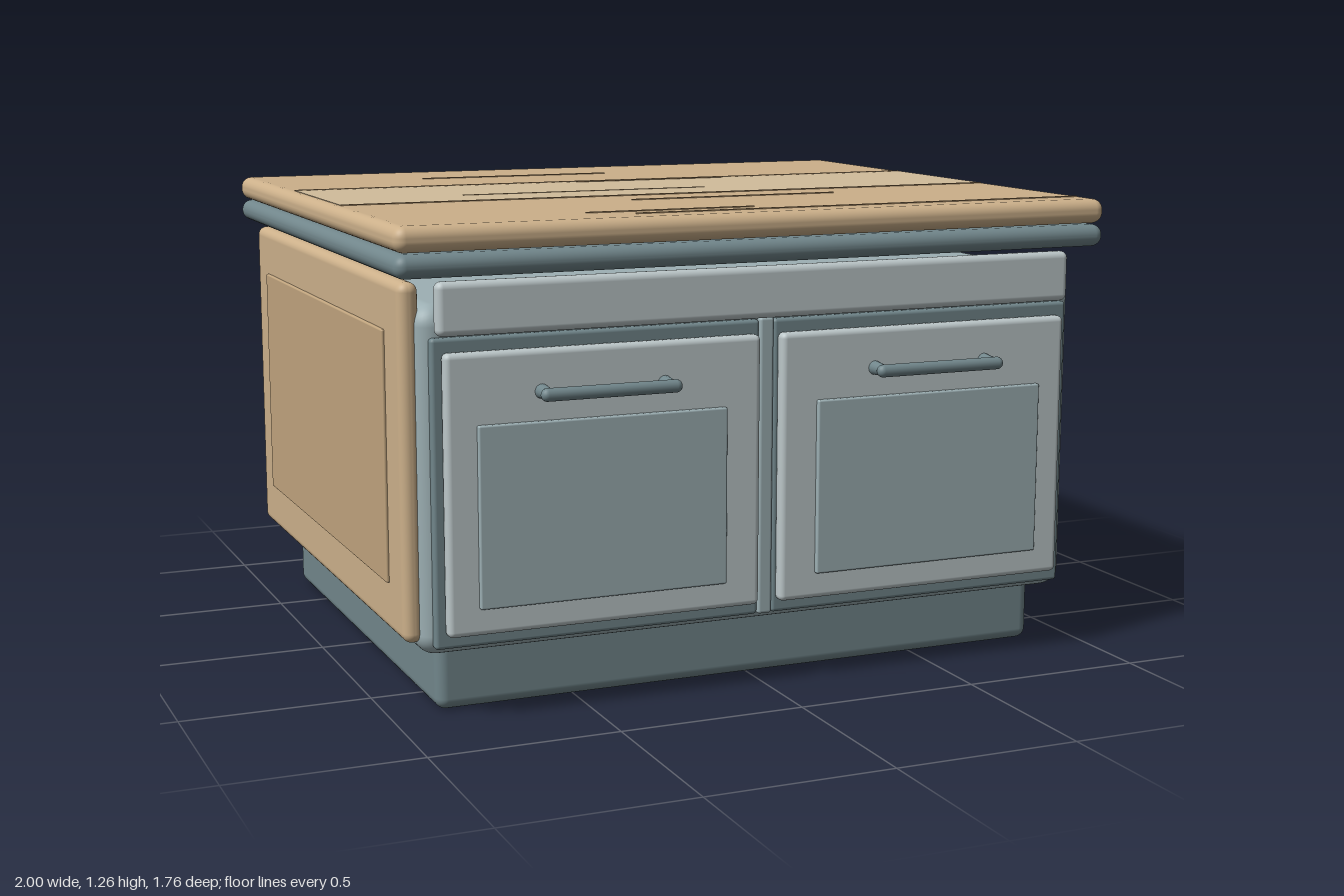
import * as THREE from 'three';
import { RoundedBoxGeometry } from 'three/addons/geometries/RoundedBoxGeometry.js';

export function createModel() {
  const model = new THREE.Group();
  model.name = 'kitchenIsland';
  const paint = (color) => new THREE.MeshStandardMaterial({ color });
  const body = paint(0x9db0b4), pale = paint(0xbcc7c9), dark = paint(0x71868b);
  const wood = paint(0xccb08a), lightWood = paint(0xd2bd9b), grain = paint(0xa98a63);

  // Rounded block given by its min and max on each axis
  function block(name, material, [x0, x1], [y0, y1], [z0, z1], radius = 0.01, parent = model) {
    const size = [x1 - x0, y1 - y0, z1 - z0];
    const r = Math.min(radius, Math.min(...size) * 0.49);
    const geometry = r > 0
      ? new RoundedBoxGeometry(...size, 4, r)
      : new THREE.BoxGeometry(...size);
    const mesh = new THREE.Mesh(geometry, material);
    mesh.name = name;
    mesh.position.set((x0 + x1) / 2, (y0 + y1) / 2, (z0 + z1) / 2);
    parent.add(mesh);
    return mesh;
  }

  // Plinth and cabinet body
  block('plinth', dark, [-0.875, 0.875], [0, 0.22], [-0.75, 0.68], 0.03);
  block('cabinetBody', body, [-0.94, 0.94], [0.165, 1.055], [-0.825, 0.755], 0.055);

  // Worktop: dark underlay with a wooden slab above
  block('worktopUnderlay', dark, [-1, 1], [1.125, 1.185], [-0.88, 0.81], 0.029);
  block('worktop', wood, [-1, 1], [1.188, 1.254], [-0.88, 0.81], 0.029);
  block('lightPlank', lightWood, [-0.97, 0.97], [1.25, 1.2555], [-0.29, 0.2], 0);

  // Grain lines on the worktop: start x, end x, z
  const lines = [
    [-0.51, 0.08, -0.575], [-0.97, 0.97, -0.3], [-0.13, 0.34, -0.27], [-0.58, 0.15, 0.035],
    [-0.97, 0.97, 0.203], [-0.2, 0.41, 0.34], [-0.45, 0.02, 0.645], [-0.34, 0.97, 0.71],
  ];
  for (const [x0, x1, z] of lines) {
    block('grainLine', grain, [x0, x1], [1.25, 1.257], [z - 0.002, z + 0.002], 0);
  }

  // Wooden end panel on the model's right
  block('endPanel', wood, [-0.972, -0.918], [0.2, 1.11], [-0.79, 0.73], 0.025);
  block('endPanelField', paint(0xbfa37d), [-0.98, -0.965], [0.33, 0.98], [-0.65, 0.6], 0.005);

  // Drawer front and centre stile
  block('drawerFront', pale, [-0.895, 0.895], [0.98, 1.115], [0.755, 0.798], 0.018);
  block('centreStile', body, [-0.02, 0.02], [0.19, 0.98], [0.74, 0.775], 0.008);

  // Doors with backing frame, raised field and bar handle
  for (const side of [-1, 1]) {
    const door = new THREE.Group();
    door.name = side < 0 ? 'rightDoor' : 'leftDoor';
    model.add(door);
    const span = (a, b) => (side > 0 ? [a, b] : [-b, -a]);
    block('doorFrame', dark, span(0.02, 0.905), [0.19, 0.975], [0.74, 0.772], 0.01, door);
    block('doorLeaf', pale, span(0.03, 0.88), [0.225, 0.94], [0.765, 0.805], 0.015, door);
    block('doorField', body, span(0.13, 0.8), [0.295, 0.76], [0.795, 0.818], 0.005, door);

    const handle = new THREE.Group();
    handle.name = 'handle';
    handle.position.set(side * 0.465, 0.834, 0);
    door.add(handle);
    const bar = new THREE.Mesh(new THREE.CapsuleGeometry(0.017, 0.342, 6, 16), dark);
    bar.name = 'handleBar';
    bar.rotation.z = Math.PI / 2;
    bar.position.z = 0.861;
    handle.add(bar);
    for (const end of [-1, 1]) {
      const post = new THREE.Mesh(new THREE.CylinderGeometry(0.014, 0.019, 0.06, 16), dark);
      post.name = 'handlePost';
      post.rotation.x = Math.PI / 2;
      post.position.set(end * 0.165, 0, 0.833);
      handle.add(post);
    }
  }
  return model;
}
